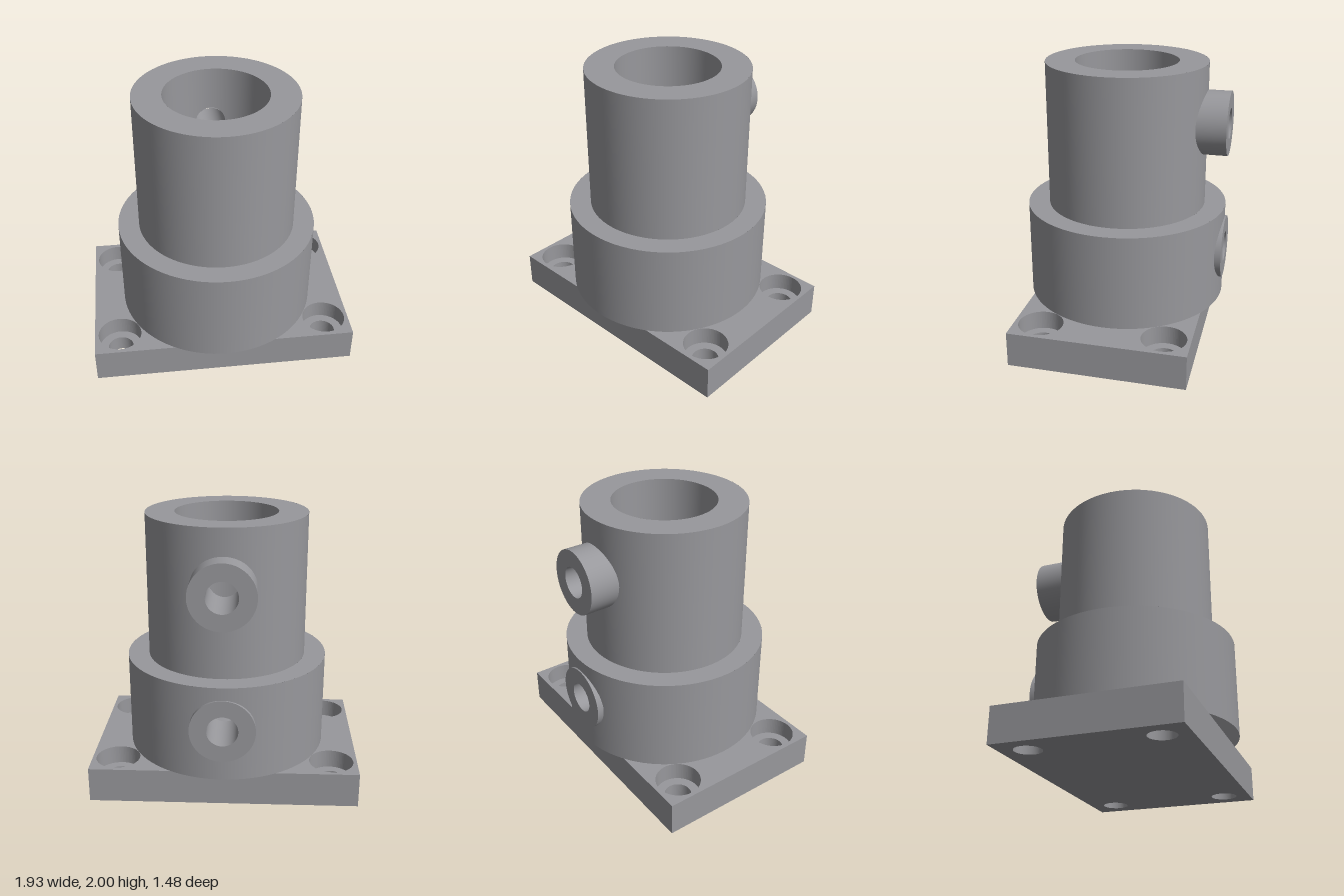
import * as THREE from 'three';
import { toCreasedNormals } from 'three/addons/utils/BufferGeometryUtils.js';

const metal = new THREE.MeshStandardMaterial({ color: 0x98989c, side: THREE.DoubleSide });
metal.name = 'grey metal';

const BORE = 0.37, PORT = 0.11, HALF = 0.22;

function add(parent, name, geometry) {
  const mesh = new THREE.Mesh(geometry, metal);
  mesh.name = name;
  parent.add(mesh);
  return mesh;
}

// Plate layer with four round holes
function plateLayer(holeRadius, y, height) {
  const w = 0.967, d = 0.633;
  const shape = new THREE.Shape();
  shape.moveTo(-w, -d).lineTo(w, -d).lineTo(w, d).lineTo(-w, d).closePath();
  for (const x of [-0.78, 0.78]) for (const z of [-0.443, 0.443]) {
    shape.holes.push(new THREE.Path().absarc(x, z, holeRadius, 0, Math.PI * 2, true));
  }
  const g = new THREE.ExtrudeGeometry(shape, { depth: height, bevelEnabled: false, curveSegments: 40 });
  return g.rotateX(-Math.PI / 2).translate(0, y, 0);
}

// Curved rear patch that runs from a round port out to a rectangle
function portPatch(r, y0, y1, portY) {
  const n = 48, rings = 8, pos = [], nor = [], idx = [];
  for (let j = 0; j <= rings; j++) for (let i = 0; i <= n; i++) {
    const t = (i / n) * Math.PI * 2, c = Math.cos(t), s = Math.sin(t), k = j / rings;
    const m = Math.max(Math.abs(c), Math.abs(s));
    const edgeY = (s / m) * (s > 0 ? y1 - portY : portY - y0);
    const x = THREE.MathUtils.lerp(PORT * c, HALF * c / m, k);
    const y = portY + THREE.MathUtils.lerp(PORT * s, edgeY, k);
    const z = -Math.sqrt(r * r - x * x);
    pos.push(x, y, z);
    nor.push(x / r, 0, z / r);
    if (j < rings && i < n) {
      const a = j * (n + 1) + i, b = a + n + 1;
      idx.push(a, b + 1, b, a, a + 1, b + 1);
    }
  }
  const g = new THREE.BufferGeometry();
  g.setAttribute('position', new THREE.Float32BufferAttribute(pos, 3));
  g.setAttribute('normal', new THREE.Float32BufferAttribute(nor, 3));
  g.setIndex(idx);
  return g;
}

// Cylindrical wall pierced by one port at the back
function wall(parent, name, r, y0, y1, portY) {
  const a = Math.asin(HALF / r);
  const rest = new THREE.CylinderGeometry(r, r, y1 - y0, 80, 1, true, Math.PI + a, 2 * (Math.PI - a));
  add(parent, name, rest.translate(0, (y0 + y1) / 2, 0));
  add(parent, name + 'PortPatch', portPatch(r, y0, y1, portY));
}

// Flat annular shoulder facing up
function shoulder(parent, name, inner, outer, y) {
  add(parent, name, new THREE.RingGeometry(inner, outer, 80).rotateX(-Math.PI / 2).translate(0, y, 0));
}

// Screw boss: hollow spigot pointing backwards
function boss(parent, name, y, root) {
  const profile = [[PORT, 0.36], [PORT, 0.745], [0.23, 0.745], [0.23, root]]
    .map(([r, l]) => new THREE.Vector2(r, l)).reverse();
  const g = toCreasedNormals(new THREE.LatheGeometry(profile, 48), 0.6);
  add(parent, name, g.rotateX(-Math.PI / 2).translate(0, y, 0));
}

export function createModel() {
  const model = new THREE.Group();
  model.name = 'flangedSocket';

  // Mounting plate with counterbored screw holes
  const plate = new THREE.Group();
  plate.name = 'basePlate';
  add(plate, 'lowerPlate', plateLayer(0.095, 0, 0.12));
  add(plate, 'upperPlate', plateLayer(0.16, 0.12, 0.135));
  model.add(plate);

  // Stepped socket with a blind bore down to the plate
  const socket = new THREE.Group();
  socket.name = 'socket';
  const y0 = 0.255, y1 = 0.95, y2 = 2, lowPort = 0.63, highPort = 1.58;
  wall(socket, 'collarWall', 0.735, y0, y1, lowPort);
  wall(socket, 'tubeWall', 0.58, y1, y2, highPort);
  wall(socket, 'lowerBore', BORE, y0, y1, lowPort);
  wall(socket, 'upperBore', BORE, y1, y2, highPort);
  shoulder(socket, 'collarShoulder', 0.58, 0.735, y1);
  shoulder(socket, 'tubeRim', BORE, 0.58, y2);
  model.add(socket);

  // Rear screw bosses
  boss(model, 'lowerBoss', lowPort, 0.65);
  boss(model, 'upperBoss', highPort, 0.5);
  return model;
}
